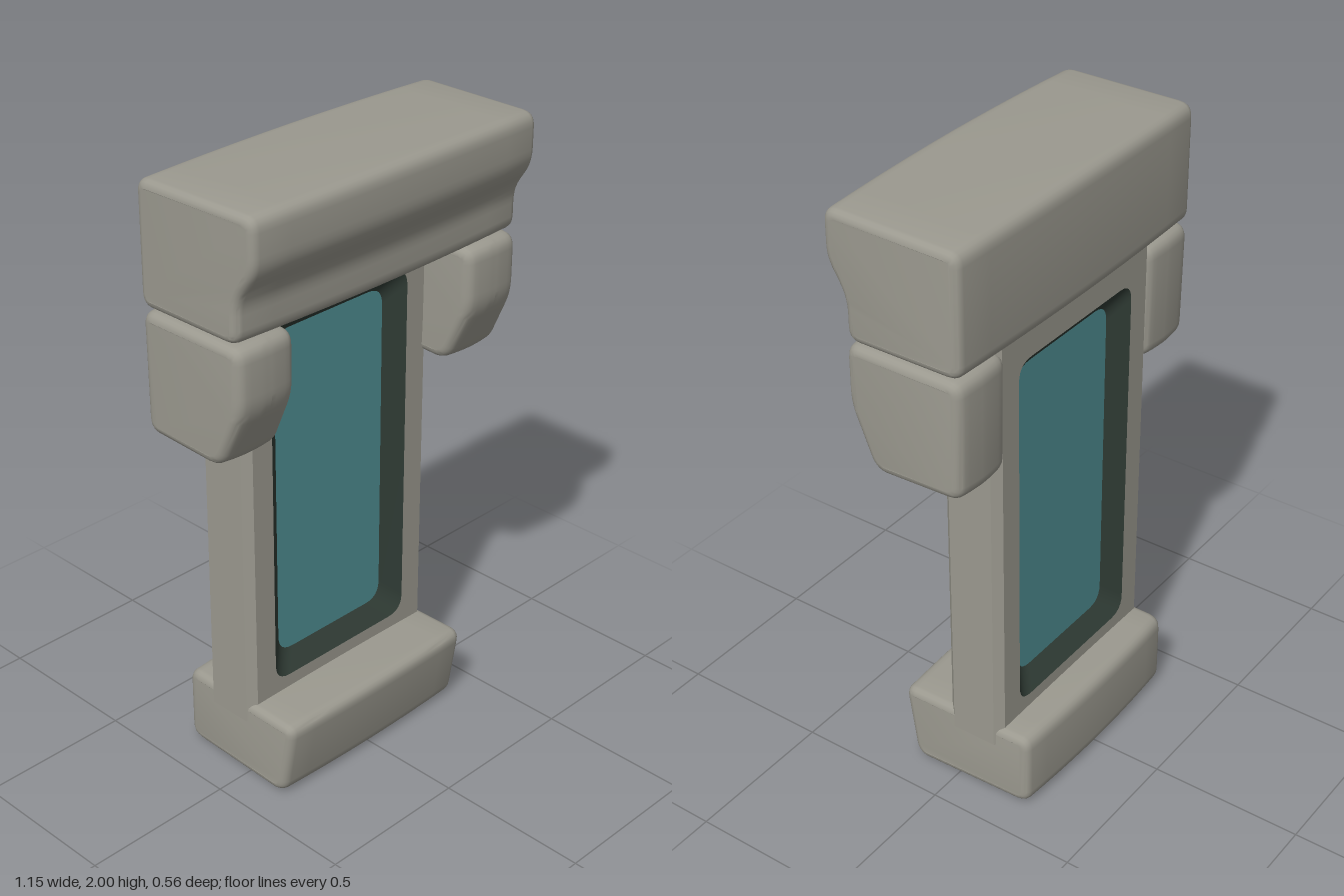
import * as THREE from 'three';
import { toCreasedNormals } from 'three/addons/utils/BufferGeometryUtils.js';

const stone = new THREE.MeshStandardMaterial({ color: 0x9b998f });
stone.name = 'warm grey';
const recess = new THREE.MeshStandardMaterial({ color: 0x303c35, side: THREE.DoubleSide });
recess.name = 'dark green';
const pane = new THREE.MeshStandardMaterial({ color: 0x4f8d91 });
pane.name = 'teal';

function addMesh(parent, name, geometry, material) {
  const mesh = new THREE.Mesh(geometry, material);
  mesh.name = name;
  parent.add(mesh);
  return mesh;
}

// Closed outline with softened corners
function roundedPath(points, r, Type = THREE.Shape) {
  const path = new Type();
  const v = points.map(([x, y]) => new THREE.Vector2(x, y));
  v.forEach((p, i) => {
    const toward = (q) => p.clone().add(q.clone().sub(p).setLength(r));
    const a = toward(v[(i + v.length - 1) % v.length]);
    const b = toward(v[(i + 1) % v.length]);
    if (i === 0) path.moveTo(a.x, a.y);
    else path.lineTo(a.x, a.y);
    path.quadraticCurveTo(p.x, p.y, b.x, b.y);
  });
  path.closePath();
  return path;
}

const rect = (w, y0, y1) => [[-w, y0], [w, y0], [w, y1], [-w, y1]];

// Soft block: a side profile of [z, y] points swept across x, slightly pillowed
function softBlock(profile, width) {
  const bevel = 0.025;
  const shape = roundedPath(profile.map(([z, y]) => [-z, y]), 0.045);
  const depth = width - 2 * bevel;
  const geo = new THREE.ExtrudeGeometry(shape, {
    depth, steps: 10, curveSegments: 5, bevelEnabled: true,
    bevelSize: bevel, bevelThickness: bevel, bevelOffset: -bevel, bevelSegments: 4,
  });
  geo.translate(0, 0, -depth / 2);
  geo.rotateY(Math.PI / 2);
  const ys = profile.map((p) => p[1]);
  const midY = (Math.min(...ys) + Math.max(...ys)) / 2;
  const pos = geo.attributes.position;
  for (let i = 0; i < pos.count; i++) {
    const x = pos.getX(i), y = pos.getY(i), z = pos.getZ(i);
    const t = (2 * x / width) ** 2;
    pos.setXYZ(i, x - Math.sign(x) * 0.012 * Math.min(1, (z / 0.25) ** 2),
      midY + (y - midY) * (1 - 0.03 * t), z * (1 - 0.05 * t));
  }
  return toCreasedNormals(geo, 0.6);
}

export function createModel() {
  const model = new THREE.Group();
  model.name = 'pillar';

  // Heavy blocks above and below
  addMesh(model, 'topBlock', softBlock(
    [[0.28, 2.0], [0.28, 1.84], [0.21, 1.74], [0.21, 1.605], [-0.195, 1.605], [-0.195, 1.995]], 1.15), stone);
  addMesh(model, 'base', softBlock(
    [[0.215, 0.268], [0.17, 0.0], [-0.28, 0.005], [-0.28, 0.268]], 0.78), stone);

  // Hanging shoulder blocks
  for (const side of [-1, 1]) {
    const block = addMesh(model, side > 0 ? 'leftShoulder' : 'rightShoulder', softBlock(
      [[0.215, 1.603], [0.215, 1.41], [0.125, 1.213], [-0.185, 1.22], [-0.19, 1.603]], 0.226), stone);
    block.position.x = side * 0.462;
  }

  // Upright frame with chamfered outer edges
  const column = new THREE.Group();
  column.name = 'column';
  column.position.z = -0.07;
  model.add(column);
  const opening = rect(0.282, 0.31, 1.522);
  const inner = rect(0.224, 0.366, 1.464);
  const frame = new THREE.Shape(rect(0.385, 0.2, 1.63).map(([x, y]) => new THREE.Vector2(x, y)));
  frame.holes.push(roundedPath(opening, 0.06, THREE.Path));
  const half = 0.1;
  const frameGeo = new THREE.ExtrudeGeometry(frame, {
    depth: 2 * half, steps: 8, curveSegments: 6, bevelEnabled: false,
  });
  frameGeo.translate(0, 0, -half);
  const pos = frameGeo.attributes.position;
  for (let i = 0; i < pos.count; i++) {
    const x = pos.getX(i);
    if (Math.abs(x) > 0.37 && Math.abs(pos.getZ(i)) > half - 0.001) pos.setX(i, Math.sign(x) * 0.36);
  }
  addMesh(column, 'frame', toCreasedNormals(frameGeo, 0.5), stone);

  // Sloping reveal on both faces, joining the opening to the pane
  const sunk = 0.052;
  const outerLoop = roundedPath(opening, 0.06).getPoints(6);
  const innerLoop = roundedPath(inner, 0.06).getPoints(6);
  const verts = [], faces = [];
  outerLoop.forEach((p, i) => {
    verts.push(p.x, p.y, half, innerLoop[i].x, innerLoop[i].y, sunk);
    if (i > 0) {
      const a = 2 * (i - 1);
      faces.push(a, a + 2, a + 1, a + 1, a + 2, a + 3);
    }
  });
  const reveal = new THREE.BufferGeometry();
  reveal.setAttribute('position', new THREE.Float32BufferAttribute(verts, 3));
  reveal.setIndex(faces);
  reveal.computeVertexNormals();
  for (const turn of [0, Math.PI]) {
    addMesh(column, turn ? 'backReveal' : 'frontReveal', reveal, recess).rotation.y = turn;
  }

  // Glowing pane set inside the frame
  const paneGeo = new THREE.ExtrudeGeometry(roundedPath(inner, 0.06), {
    depth: 2 * sunk, curveSegments: 6, bevelEnabled: false,
  });
  paneGeo.translate(0, 0, -sunk);
  addMesh(column, 'pane', paneGeo, pane);

  return model;
}
